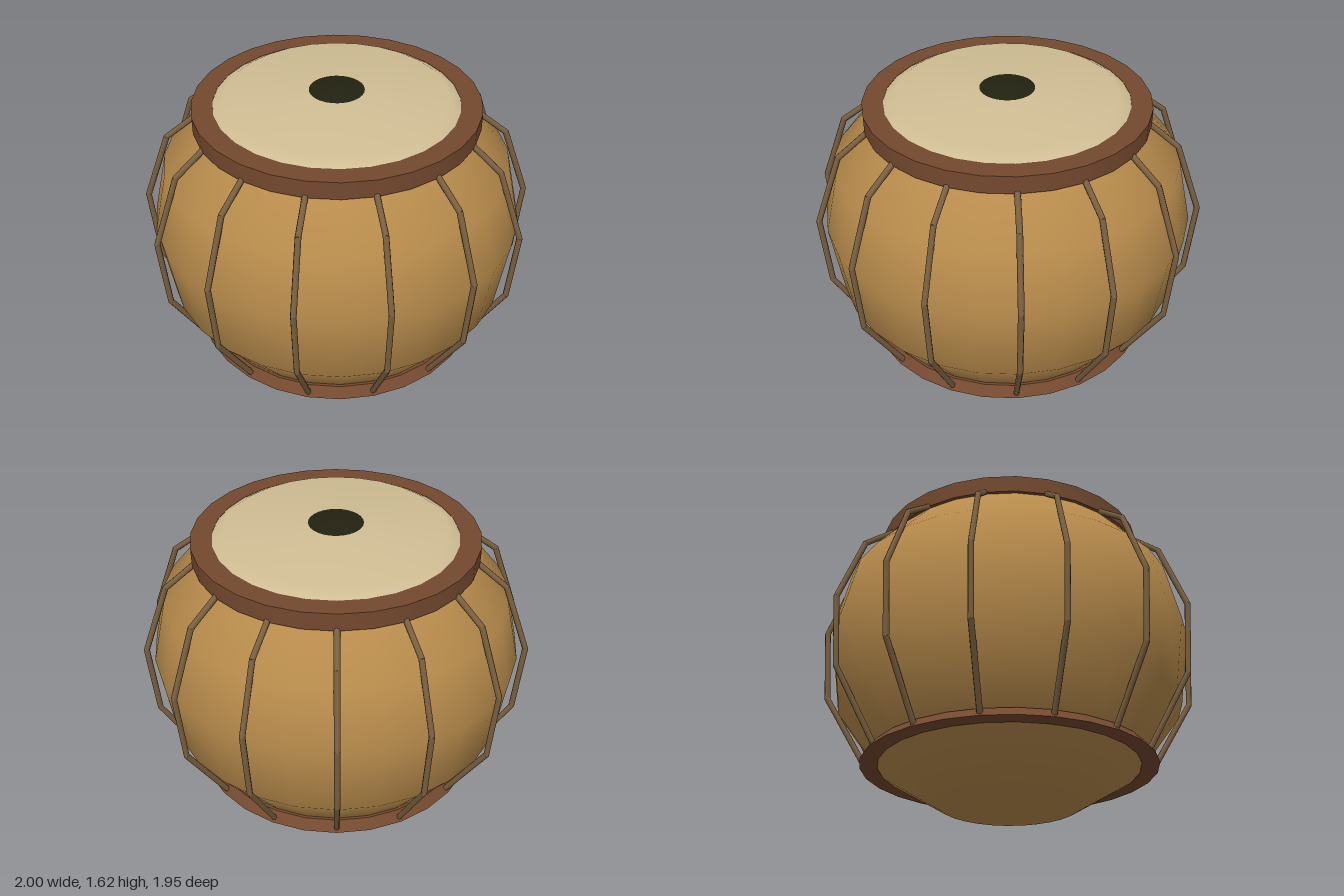
import * as THREE from 'three';
import { toCreasedNormals } from 'three/addons/utils/BufferGeometryUtils.js';

const SIDES = 28;
const ROPES = 14;

const material = (name, color) => {
  const m = new THREE.MeshStandardMaterial({ color });
  m.name = name;
  return m;
};

const lathe = (points) =>
  new THREE.LatheGeometry(points.map(([r, y]) => new THREE.Vector2(r, y)), SIDES);

export function createModel() {
  const wood = material('wood', 0xb98c4c);
  const band = material('reddish band', 0x74492f);
  const hide = material('drum skin', 0xd0be94);
  const ink = material('dark spot', 0x222211);
  const cord = material('rope', 0x7a6040);

  const group = new THREE.Group();
  const add = (name, geometry, mat, parent = group) => {
    const mesh = new THREE.Mesh(geometry, mat);
    mesh.name = name;
    parent.add(mesh);
    return mesh;
  };

  // Round wooden shell with a shallow pointed base
  add('shell', lathe([
    [0, 0], [0.36, 0.04], [0.67, 0.225], [0.895, 0.53], [0.95, 0.92],
    [0.875, 1.24], [0.68, 1.47],
  ]), wood);

  // Hoops, as closed ring sections with sharp edges
  const hoop = (name, section) =>
    add(name, toCreasedNormals(lathe([...section, section[0]]), 0.5), band);
  hoop('topHoop', [[0.715, 1.45], [0.715, 1.54], [0.61, 1.54], [0.61, 1.45]]);
  hoop('bottomHoop', [[0.765, 0.23], [0.725, 0.28], [0.66, 0.28], [0.66, 0.23]]);

  // Domed skin and its central spot
  add('skin', lathe([[0.615, 1.535], [0.55, 1.573], [0.13, 1.597], [0, 1.605]]), hide);
  add('spot', lathe([[0.137, 1.598], [0, 1.615]]), ink);

  // Tension ropes: straight lengths joined at bends, repeated around the shell
  const path = [[0.70, 1.46], [0.855, 1.34], [0.985, 0.99], [0.957, 0.61], [0.745, 0.25]]
    .map(([x, y]) => new THREE.Vector3(x, y, 0));
  const up = new THREE.Vector3(0, 1, 0);
  for (let i = 0; i < ROPES; i++) {
    const rope = new THREE.Group();
    rope.name = `rope${i + 1}`;
    rope.rotation.y = (i / ROPES) * Math.PI * 2;
    for (let j = 0; j < path.length - 1; j++) {
      const dir = path[j].clone().sub(path[j + 1]);
      const length = dir.length();
      const part = add('ropeLength', new THREE.CylinderGeometry(0.015, 0.015, length + 0.006, 8), cord, rope);
      part.position.copy(path[j]).lerp(path[j + 1], 0.5);
      part.quaternion.setFromUnitVectors(up, dir.normalize());
    }
    group.add(rope);
  }

  return group;
}
